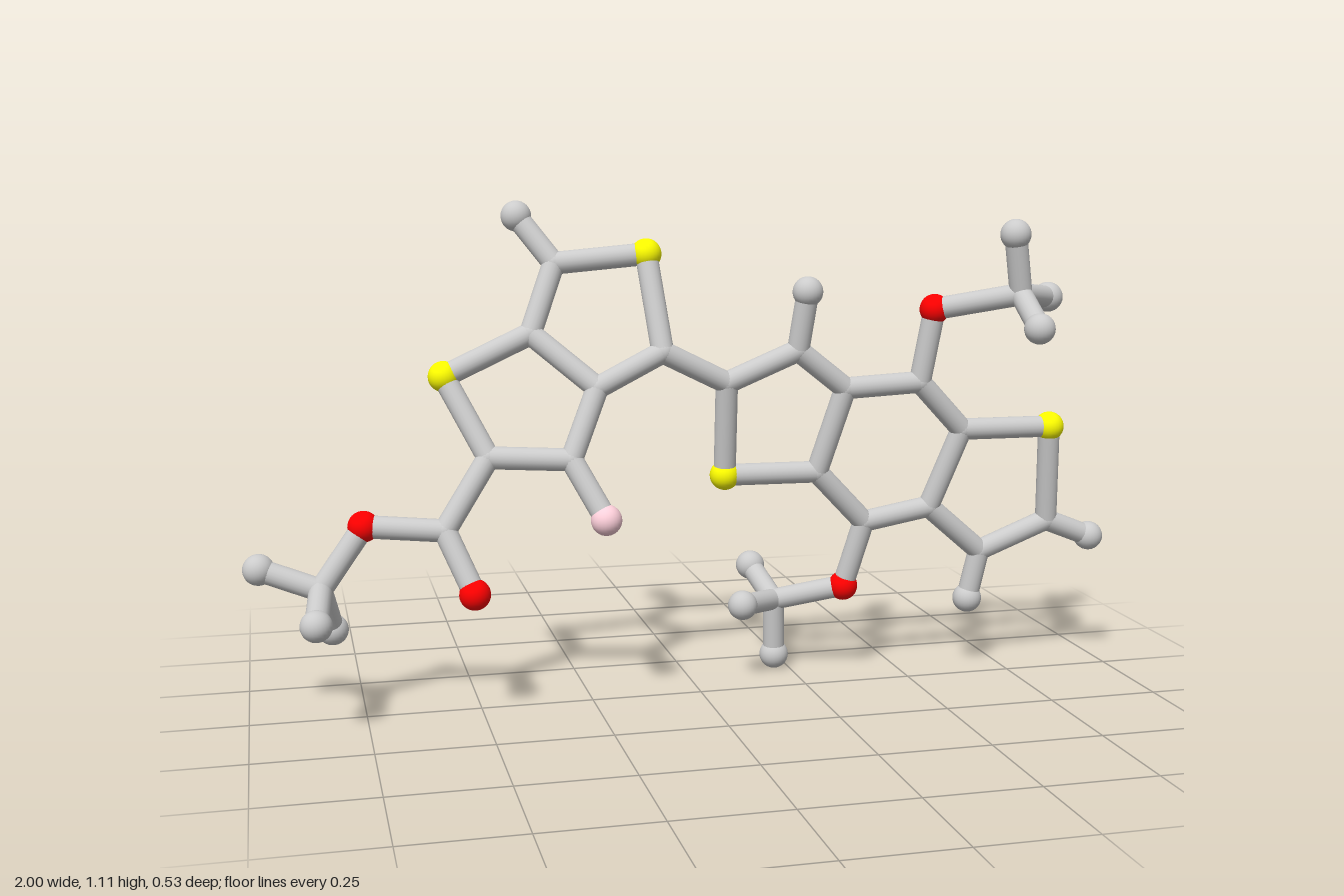
import * as THREE from 'three';

const BOND_RADIUS = 0.025;
const BALL_RADIUS = 0.034;

const material = (color) => new THREE.MeshStandardMaterial({ color });
const grey = material(0xcccccc);

// Kinds of atom: name, ball radius, material
const KINDS = {
  C: ['carbonJoint', BOND_RADIUS * 1.02, grey],
  H: ['endBall', BALL_RADIUS, grey],
  S: ['sulfurBall', BALL_RADIUS, material(0xffff00)],
  O: ['oxygenBall', BALL_RADIUS, material(0xff0000)],
  F: ['fluorineBall', BALL_RADIUS, material(0xffd1dc)],
};

// Each fragment: atoms keyed by kind + label, and chains of bonded atoms
const FRAGMENTS = {
  leftFusedRings: {
    atoms: {
      S1: [-0.56, 0.735, -0.07], S2: [-0.11, 0.995, -0.06],
      C1: [-0.31, 0.975, -0.097], C2: [-0.09, 0.785, 0.015],
      C3: [-0.235, 0.71, 0.01], C4: [-0.37, 0.825, -0.057],
      C5: [-0.475, 0.565, 0.006], C6: [-0.30, 0.56, 0.046],
      H1: [-0.385, 1.077, -0.145], F1: [-0.235, 0.435, 0.103],
    },
    chains: ['C4 S1 C5 C6 C3 C4 C1 S2 C2 C3', 'C1 H1', 'C6 F1'],
  },
  esterTail: {
    atoms: {
      C7: [-0.575, 0.415, 0.035], O1: [-0.52, 0.285, 0.093],
      O2: [-0.745, 0.425, -0.003], C8: [-0.84, 0.295, 0.015],
      H2: [-0.967, 0.34, -0.015], H3: [-0.855, 0.253, 0.153], H4: [-0.815, 0.19, -0.047],
    },
    chains: ['C5 C7 O2 C8 H2', 'C7 O1', 'C8 H3', 'C8 H4'],
  },
  rightFusedRings: {
    atoms: {
      C9: [0.06, 0.71, -0.004], S3: [0.065, 0.495, -0.04],
      C10: [0.22, 0.78, 0.013], C11: [0.335, 0.69, 0.004],
      C12: [0.28, 0.495, -0.029], C13: [0.51, 0.70, 0.013],
      C14: [0.62, 0.585, -0.001], C15: [0.555, 0.40, -0.033],
      C16: [0.40, 0.37, -0.044], S4: [0.835, 0.585, 0.006],
      C17: [0.85, 0.355, -0.027], C18: [0.69, 0.285, -0.047],
      H5: [0.235, 0.912, 0.033], H6: [0.962, 0.31, -0.03], H7: [0.667, 0.168, -0.057],
    },
    chains: ['C2 C9 C10 C11 C13 C14 S4 C17 C18 C15 C16 C12 S3 C9',
      'C11 C12', 'C14 C15', 'C10 H5', 'C17 H6', 'C18 H7'],
  },
  upperMethoxy: {
    atoms: {
      O3: [0.535, 0.867, 0.03], C19: [0.70, 0.905, 0.128],
      H8: [0.675, 1.038, 0.147], H9: [0.805, 0.89, 0.04], H10: [0.70, 0.838, 0.232],
    },
    chains: ['C13 O3 C19 H8', 'C19 H9', 'C19 H10'],
  },
  lowerMethoxy: {
    atoms: {
      O4: [0.36, 0.213, -0.07], C20: [0.21, 0.172, -0.137],
      H11: [0.215, 0.036, -0.147], H12: [0.11, 0.187, -0.045], H13: [0.18, 0.235, -0.235],
    },
    chains: ['C16 O4 C20 H11', 'C20 H12', 'C20 H13'],
  },
};

const bondGeometry = new THREE.CylinderGeometry(BOND_RADIUS, BOND_RADIUS, 1, 20, 1, true);
const ballGeometry = new THREE.SphereGeometry(1, 24, 16);
const UP = new THREE.Vector3(0, 1, 0);

function makeBall(kind, position) {
  const [name, radius, mat] = KINDS[kind];
  const ball = new THREE.Mesh(ballGeometry, mat);
  ball.name = name;
  ball.position.copy(position);
  ball.scale.setScalar(radius);
  return ball;
}

// A rod between two points
function makeBond(a, b) {
  const bond = new THREE.Mesh(bondGeometry, grey);
  const direction = b.clone().sub(a);
  bond.name = 'bond';
  bond.position.copy(a).lerp(b, 0.5);
  bond.scale.y = direction.length();
  bond.quaternion.setFromUnitVectors(UP, direction.normalize());
  return bond;
}

export function createModel() {
  const model = new THREE.Group();
  model.name = 'stickMolecule';
  const points = {};

  for (const [name, { atoms, chains }] of Object.entries(FRAGMENTS)) {
    const fragment = new THREE.Group();
    fragment.name = name;

    for (const [label, xyz] of Object.entries(atoms)) {
      points[label] = new THREE.Vector3(...xyz);
      fragment.add(makeBall(label[0], points[label]));
    }
    for (const chain of chains) {
      const labels = chain.split(' ');
      for (let i = 1; i < labels.length; i++) {
        fragment.add(makeBond(points[labels[i - 1]], points[labels[i]]));
      }
    }
    model.add(fragment);
  }
  return model;
}
